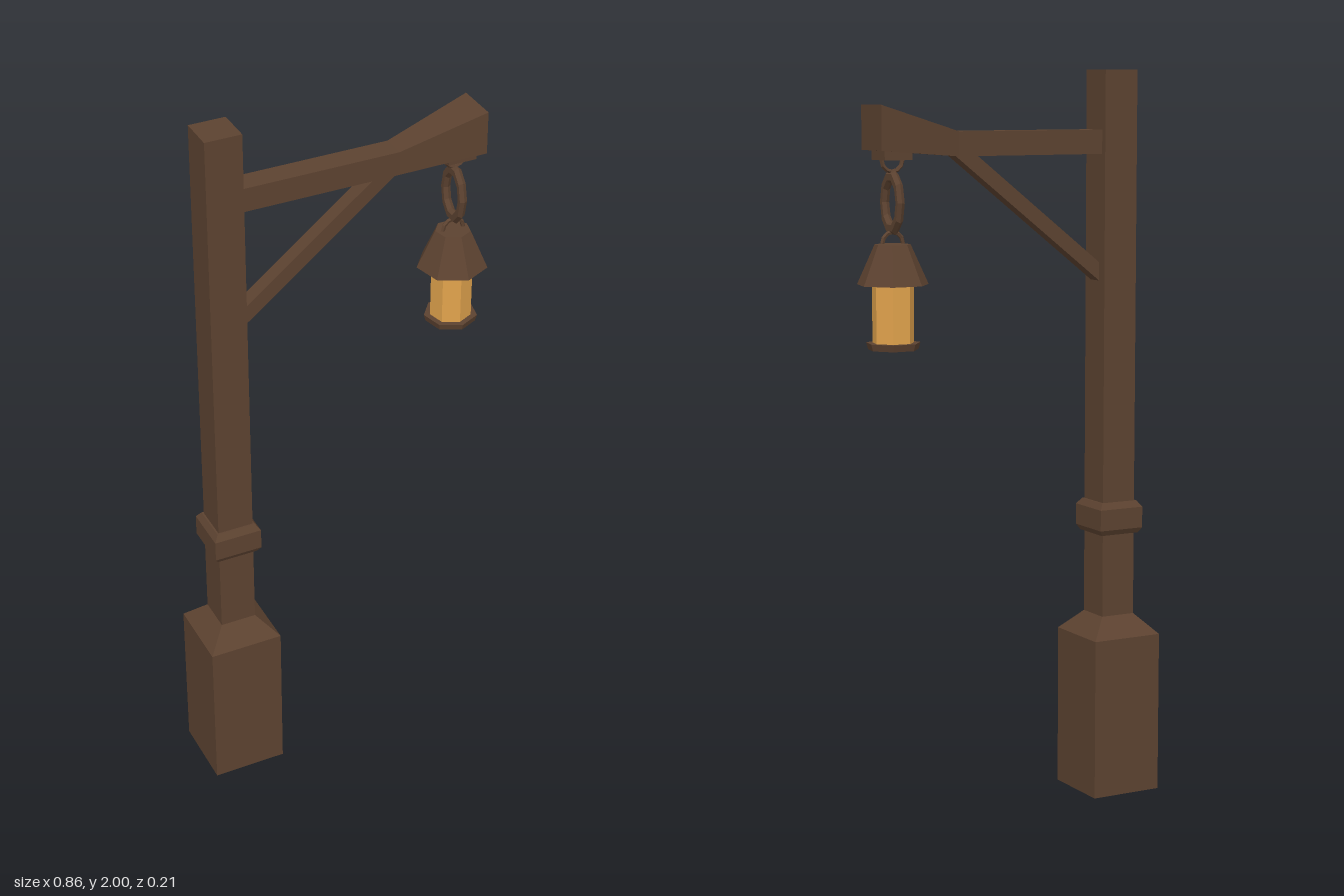
import * as THREE from 'three';

const wood = new THREE.MeshStandardMaterial({ color: 0x5c4230, flatShading: true, side: THREE.DoubleSide });
const glass = new THREE.MeshStandardMaterial({ color: 0xe0a24c, flatShading: true });

const POST_X = -0.33;
const LAMP_X = 0.336;
const LAMP_Z = -0.005;

function add(parent, name, geometry, x = 0, y = 0, z = 0, material = wood) {
  const mesh = new THREE.Mesh(geometry, material);
  mesh.name = name;
  mesh.position.set(x, y, z);
  parent.add(mesh);
  return mesh;
}

// Square column from [half width, height] pairs, bottom to top
function squareColumn(profile) {
  const points = profile.map(([half, y]) => new THREE.Vector2(half * Math.SQRT2, y));
  return new THREE.LatheGeometry(points, 4).rotateY(Math.PI / 4);
}

// Seven-sided lantern section between two heights
function heptagon(rTop, rBottom, y0, y1) {
  return new THREE.CylinderGeometry(rTop, rBottom, y1 - y0, 7).translate(0, (y0 + y1) / 2, 0);
}

// Arm whose outer third flares towards the tip
function armGeometry() {
  const sections = [
    { x: -0.285, bottom: 1.775, top: 1.84, half: 0.034 },
    { x: 0.155, bottom: 1.775, top: 1.84, half: 0.034 },
    { x: 0.392, bottom: 1.793, top: 1.91, half: 0.06 },
  ];
  const geometry = new THREE.BoxGeometry(2, 2, 2, 2, 1, 1);
  const p = geometry.attributes.position;
  for (let i = 0; i < p.count; i++) {
    const s = sections[Math.round(p.getX(i)) + 1];
    p.setXYZ(i, s.x, p.getY(i) > 0 ? s.top : s.bottom, Math.sign(p.getZ(i)) * s.half);
  }
  geometry.computeVertexNormals();
  return geometry;
}

export function createModel() {
  const model = new THREE.Group();
  model.name = 'lanternPost';

  // Post with plinth and collar
  add(model, 'post', squareColumn([
    [0, 0], [0.103, 0], [0.103, 0.445], [0.05, 0.5], [0.05, 2], [0, 2],
  ]), POST_X);
  add(model, 'collar', squareColumn([
    [0.05, 0.73], [0.058, 0.73], [0.067, 0.745], [0.067, 0.803], [0.055, 0.82], [0.05, 0.82],
  ]), POST_X);

  // Arm and diagonal brace
  add(model, 'arm', armGeometry());
  const brace = new THREE.Shape([
    new THREE.Vector2(-0.285, 1.428),
    new THREE.Vector2(0.165, 1.78),
    new THREE.Vector2(0.1, 1.78),
    new THREE.Vector2(-0.285, 1.478),
  ]);
  add(model, 'brace', new THREE.ExtrudeGeometry(brace, { depth: 0.044, bevelEnabled: false }), 0, 0, -0.022);

  // Hanging plate, staples and chain link
  const lantern = new THREE.Group();
  lantern.name = 'lantern';
  lantern.position.set(LAMP_X, 0, LAMP_Z);
  model.add(lantern);
  add(lantern, 'hangingPlate', new THREE.BoxGeometry(0.08, 0.024, 0.08), 0, 1.78, 0);
  const staple = new THREE.TorusGeometry(0.03, 0.006, 5, 6, Math.PI);
  add(lantern, 'upperStaple', staple, 0, 1.768, 0).rotation.z = Math.PI;
  add(lantern, 'lowerStaple', staple, 0, 1.552, 0);
  const link = new THREE.TorusGeometry(0.046, 0.012, 6, 10).scale(1, 1.5, 1).rotateY(Math.PI / 2);
  add(lantern, 'chainLink', link, 0, 1.658, 0);

  // Lantern body
  add(lantern, 'lanternRoof', heptagon(0.048, 0.096, 1.445, 1.55));
  add(lantern, 'lanternGlass', heptagon(0.056, 0.056, 1.285, 1.45), 0, 0, 0, glass);
  add(lantern, 'lanternBase', heptagon(0.073, 0.068, 1.275, 1.293));

  return model;
}
